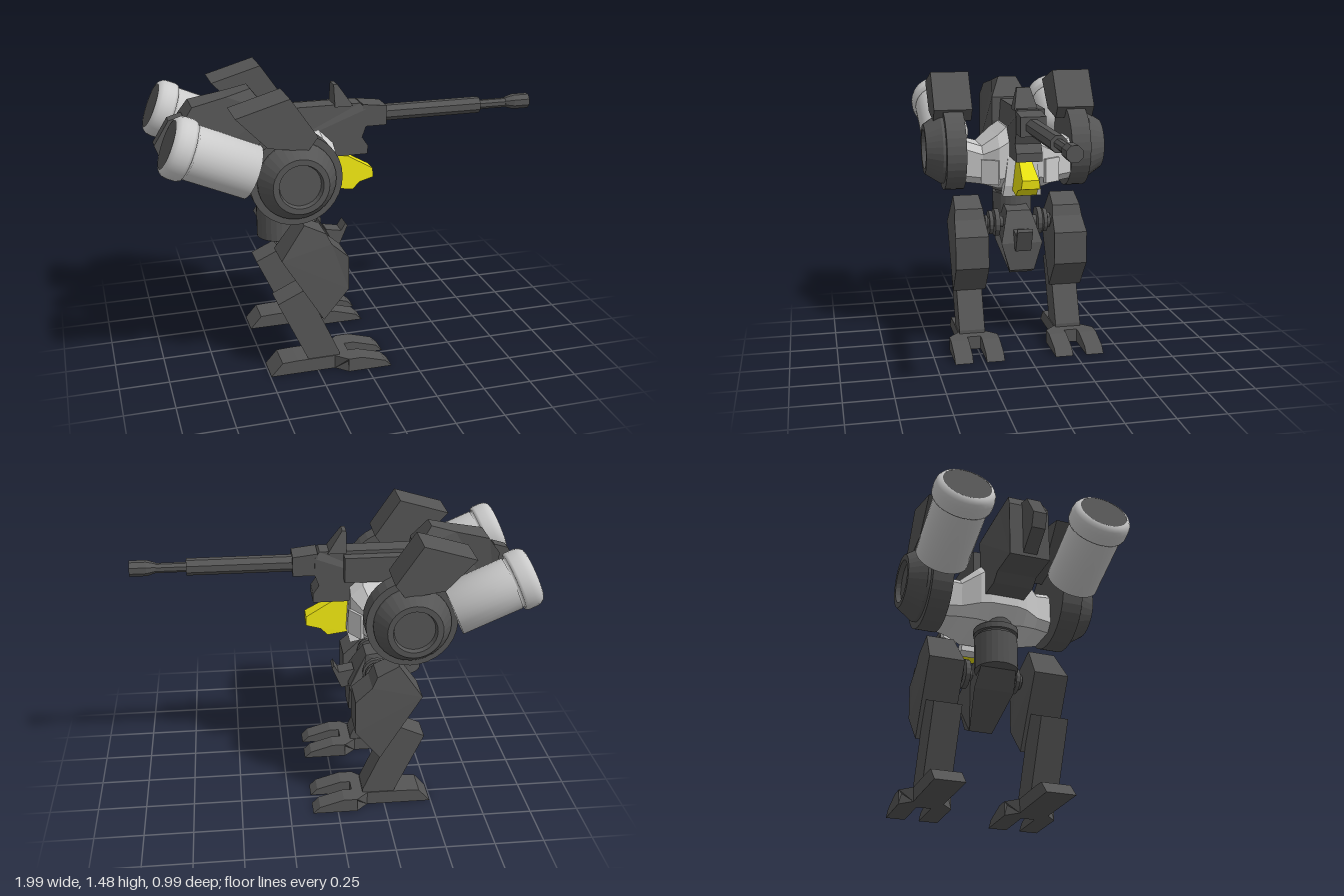
import * as THREE from 'three';

const mat = (color) => new THREE.MeshStandardMaterial({ color, flatShading: true, side: THREE.DoubleSide });
const dark = mat(0x555555), light = mat(0xcccccc), yellow = mat(0xe8e010);
const smoothLight = new THREE.MeshStandardMaterial({ color: 0xcccccc, side: THREE.DoubleSide });

export function createModel() {
  const model = new THREE.Group();
  const add = (name, geo, material = dark, parent = model) => {
    const mesh = new THREE.Mesh(geo, material);
    mesh.name = name;
    parent.add(mesh);
    return mesh;
  };

  // Side profile extruded across z; half-width may vary with x and y
  const prism = (points, half, centre = 0) => {
    const shape = new THREE.Shape(points.map((p) => new THREE.Vector2(...p)));
    const geo = new THREE.ExtrudeGeometry(shape, { depth: 2, bevelEnabled: false }).translate(0, 0, -1);
    const p = geo.attributes.position;
    for (let i = 0; i < p.count; i++) {
      const h = typeof half === 'function' ? half(p.getX(i), p.getY(i)) : half;
      p.setZ(i, centre + p.getZ(i) * h);
    }
    geo.computeVertexNormals();
    return geo;
  };
  const box = (x0, x1, y0, y1, z0, z1) =>
    new THREE.BoxGeometry(x1 - x0, y1 - y0, z1 - z0).translate((x0 + x1) / 2, (y0 + y1) / 2, (z0 + z1) / 2);
  const barX = (x0, x1, r0, r1, y, sides = 8) =>
    new THREE.CylinderGeometry(r1, r0, x1 - x0, sides).rotateY(Math.PI / sides).rotateZ(-Math.PI / 2).translate((x0 + x1) / 2, y, 0);
  const lerp = THREE.MathUtils.lerp;
  const ramp = (v, a, b, from, to) => lerp(from, to, THREE.MathUtils.clamp((v - a) / (b - a), 0, 1));

  // Skin between chamfered rectangular sections [z, x0, x1, y0, y1, chamfer]
  const loft = (sections) => {
    const pos = [];
    const rings = sections.map(([z, a, b, c, d, k]) => [
      [a + k, c, z], [b - k, c, z], [b, c + k, z], [b, d - k, z],
      [b - k, d, z], [a + k, d, z], [a, d - k, z], [a, c + k, z]]);
    for (let s = 0; s < rings.length - 1; s++) {
      for (let i = 0; i < 8; i++) {
        const j = (i + 1) % 8, A = rings[s], B = rings[s + 1];
        pos.push(...A[i], ...A[j], ...B[j], ...A[i], ...B[j], ...B[i]);
      }
    }
    const geo = new THREE.BufferGeometry();
    geo.setAttribute('position', new THREE.Float32BufferAttribute(pos, 3));
    geo.computeVertexNormals();
    return geo;
  };

  // Torso hull, narrowing toward the shoulders
  const half = [[0.07, -0.51, -0.09, 0.87, 1.2, 0.07], [0.12, -0.5, -0.09, 0.875, 1.16, 0.06],
    [0.2, -0.44, -0.14, 0.895, 1.1, 0.04], [0.3, -0.4, -0.17, 0.905, 1.13, 0.04]];
  const mirrored = half.map(([z, ...r]) => [-z, ...r]).reverse();
  add('torso', loft([...mirrored, ...half]), light);
  add('noseFrame', prism([[-0.14, 0.85], [-0.09, 0.84], [-0.075, 0.9], [-0.085, 1.05], [-0.11, 1.09], [-0.14, 1.09]],
    (x, y) => ramp(y, 0.84, 1.09, 0.105, 0.07)), light);
  add('nose', prism([[-0.09, 0.88], [0.02, 0.865], [0.055, 0.9], [0.13, 0.92], [0.13, 0.965], [0, 1.04], [-0.09, 1.05]],
    (x, y) => ramp(y, 0.87, 1.05, 0.056, 0.033)), yellow);

  // Waist and pelvis
  for (const [y0, y1, r] of [[0.64, 0.815, 0.108], [0.815, 0.83, 0.095], [0.83, 0.86, 0.112], [0.86, 0.9, 0.095]]) {
    add('waist', new THREE.CylinderGeometry(r, r, y1 - y0, 24).translate(-0.37, (y0 + y1) / 2, 0));
  }
  add('pelvis', prism([[-0.42, 0.66], [-0.34, 0.55], [-0.14, 0.405], [-0.09, 0.43], [-0.09, 0.58], [-0.13, 0.66], [-0.18, 0.74], [-0.38, 0.77]],
    (x, y) => (y < 0.58 ? ramp(y, 0.405, 0.58, 0.06, 0.112) : ramp(y, 0.58, 0.76, 0.112, 0.06))));
  add('pelvisGuard', prism([[-0.13, 0.56], [-0.055, 0.545], [-0.005, 0.66], [-0.015, 0.675], [-0.04, 0.635], [-0.12, 0.65]], 0.042));

  // Rear housing and tail
  add('rearHousing', prism([[-0.84, 1.02], [-0.67, 1.02], [-0.62, 0.985], [-0.48, 0.985], [-0.42, 1.2], [-0.42, 1.33],
    [-0.5, 1.435], [-0.62, 1.405], [-0.79, 1.37], [-0.84, 1.3]],
  (x, y) => ramp(y, 1.34, 1.435, 0.1, 0.05)));
  add('tail', prism([[-0.95, 1.11], [-0.83, 1.03], [-0.83, 1.32], [-0.9, 1.3], [-0.975, 1.18]], 0.034));

  // Centre gun
  add('gunReceiver', prism([[-0.42, 1.1], [-0.16, 1.055], [0.095, 1.055], [0.095, 1.1], [0.065, 1.145], [0.085, 1.2],
    [0.085, 1.29], [0.06, 1.32], [-0.42, 1.32]], (x, y) => ramp(y, 1.29, 1.32, 0.068, 0.052)));
  add('gunSideBox', box(-0.37, -0.06, 1.175, 1.305, -0.117, -0.06));
  add('gunSight', prism([[-0.075, 1.31], [0.02, 1.31], [-0.055, 1.42], [-0.075, 1.42]],
    (x, y) => ramp(y, 1.32, 1.42, 0.062, 0.035)));
  add('barrelCollar', prism([[0.07, 1.2], [0.195, 1.2], [0.195, 1.3], [0.07, 1.315]], 0.066));
  add('barrelSleeve', barX(0.19, 0.72, 0.043, 0.043, 1.248));
  add('barrel', barX(0.72, 0.9, 0.025, 0.025, 1.248));
  add('muzzle', barX(0.87, 0.915, 0.026, 0.04, 1.25));
  add('muzzle', barX(0.915, 1, 0.04, 0.04, 1.25));

  for (const s of [1, -1]) {
    const side = new THREE.Group();
    side.name = s > 0 ? 'leftSide' : 'rightSide';
    model.add(side);

    // Recessed-look panel on the slanted torso cheek
    const panel = add('cheekPanel', new THREE.BoxGeometry(0.02, 0.13, 0.1), light, side);
    panel.position.set(-0.113, 0.97, s * 0.165);
    panel.rotation.y = -s * 0.56;

    // Shoulder disc with conical hub and sunken centre
    const hub = [[0, 0.285], [0.225, 0.285], [0.225, 0.39], [0.19, 0.39], [0.19, 0.405], [0.135, 0.49], [0.107, 0.49], [0.1, 0.465], [0, 0.465]];
    const shoulder = add('shoulder', new THREE.LatheGeometry(hub.map((p) => new THREE.Vector2(...p)), 32), dark, side);
    shoulder.rotation.x = s * Math.PI / 2;
    shoulder.position.set(-0.355, 1.065, 0);

    // Block above the shoulder
    add('shoulderPod', prism([[-0.645, 1.4], [-0.5, 1.25], [-0.31, 1.22], [-0.26, 1.285], [-0.39, 1.475]], 0.103, s * 0.337), dark, side);

    // Slanted tank with rounded cap
    const tank = new THREE.Group();
    tank.name = 'tank';
    tank.position.set(-0.945, 1.28, s * 0.345);
    tank.rotation.z = -Math.PI / 2 - 0.41;
    side.add(tank);
    const shell = [[0.118, 0], [0.132, 0.006], [0.144, 0.022], [0.149, 0.045], [0.149, 0.085], [0.144, 0.1], [0.126, 0.1],
      [0.126, 0.112], [0.132, 0.112], [0.132, 0.42], [0, 0.42]];
    add('tankShell', new THREE.LatheGeometry(shell.map((p) => new THREE.Vector2(...p)), 32), smoothLight, tank);
    add('tankEnd', new THREE.CylinderGeometry(0.118, 0.118, 0.01, 32).translate(0, 0.006, 0), dark, tank);

    // Hip axle
    for (const [z0, z1, r] of [[0.08, 0.2, 0.03], [0.105, 0.13, 0.075], [0.14, 0.16, 0.065], [0.167, 0.18, 0.04]]) {
      add('hipAxle', new THREE.CylinderGeometry(r, r, z1 - z0, 16).rotateX(Math.PI / 2)
        .translate(-0.23, 0.67, s * (z0 + z1) / 2), dark, side);
    }

    // Leg
    const c = s * 0.27;
    add('thigh', prism([[-0.43, 0.64], [-0.32, 0.46], [-0.22, 0.295], [-0.09, 0.45], [-0.09, 0.625], [-0.175, 0.7], [-0.2, 0.755], [-0.31, 0.81]],
      (x, y) => ramp(y, 0.63, 0.81, 0.09, 0.07), c), dark, side);
    add('shin', prism([[-0.45, 0.4], [-0.285, 0.04], [-0.135, 0.04], [-0.135, 0.09], [-0.3, 0.46], [-0.32, 0.46]], 0.07, c), dark, side);

    // Foot: heel, flared bridge and two toes
    add('heel', prism([[-0.495, 0], [-0.16, 0], [-0.16, 0.072], [-0.355, 0.072], [-0.435, 0.068]], 0.075, c), dark, side);
    add('footBridge', prism([[-0.16, 0], [-0.1, 0], [-0.08, 0], [-0.08, 0.072], [-0.1, 0.072], [-0.16, 0.072]],
      (x) => ramp(x, -0.16, -0.1, 0.075, 0.132), c), dark, side);
    for (const t of [-1, 1]) {
      add('toe', prism([[-0.1, 0], [0.13, 0], [0.095, 0.035], [-0.03, 0.072], [-0.1, 0.072]], 0.048, c + t * 0.084), dark, side);
    }
  }
  return model;
}
